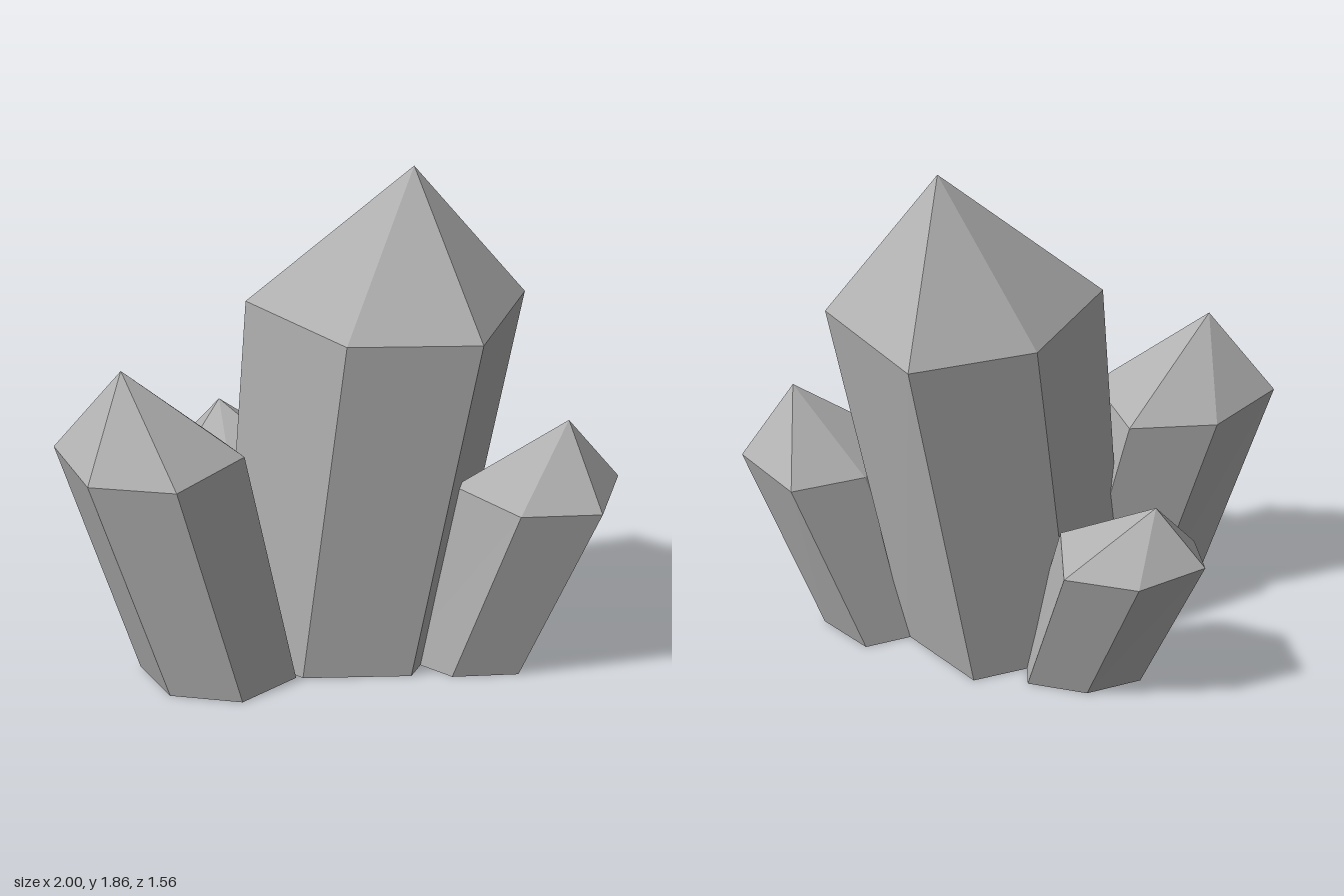
import * as THREE from 'three';

// Each crystal: tip, centre of its foot [x, z], and the six shoulder corners,
// listed clockwise seen from above. The foot is the shoulder outline shrunk.
const FOOT_SCALE = 0.84;

const CRYSTALS = [
  {
    name: 'mainCrystal', tip: [0.315, 1.86, 0.16], foot: [0.076, 0.073],
    shoulder: [[0.6, 1.298, -0.27], [0.735, 1.375, 0.233], [0.405, 1.298, 0.61],
      [-0.055, 1.298, 0.47], [-0.285, 1.375, 0.025], [0.11, 1.298, -0.27]],
  },
  {
    name: 'leftHandCrystal', tip: [-0.778, 1.18, 0.1], foot: [-0.454, 0.202],
    shoulder: [[-1, 0.875, -0.045], [-0.69, 0.825, -0.16], [-0.365, 0.825, -0.06],
      [-0.382, 0.875, 0.3], [-0.68, 0.825, 0.457], [-0.957, 0.825, 0.29]],
  },
  {
    name: 'frontSmallCrystal', tip: [0.778, 0.965, 0.55], foot: [0.496, 0.346],
    shoulder: [[0.9, 0.673, 0.227], [1, 0.717, 0.53], [0.813, 0.673, 0.778],
      [0.525, 0.673, 0.705], [0.38, 0.717, 0.435], [0.605, 0.673, 0.235]],
  },
  {
    name: 'backSmallCrystal', tip: [-0.19, 0.792, -0.645], foot: [-0.055, -0.325],
    shoulder: [[-0.325, 0.587, -0.78], [-0.06, 0.553, -0.785], [0.15, 0.553, -0.605],
      [0.04, 0.587, -0.325], [-0.24, 0.553, -0.315], [-0.415, 0.553, -0.52]],
  },
];

function crystalGeometry({ tip, foot, shoulder }) {
  const n = shoulder.length;
  const cx = shoulder.reduce((s, p) => s + p[0], 0) / n;
  const cz = shoulder.reduce((s, p) => s + p[2], 0) / n;
  const base = shoulder.map(([x, , z]) => [
    foot[0] + (x - cx) * FOOT_SCALE, 0, foot[1] + (z - cz) * FOOT_SCALE,
  ]);
  const centre = [foot[0], 0, foot[1]];

  const positions = [];
  const triangle = (a, b, c) => positions.push(...a, ...b, ...c);
  for (let i = 0; i < n; i++) {
    const j = (i + 1) % n;
    triangle(base[j], base[i], shoulder[i]); // side
    triangle(base[j], shoulder[i], shoulder[j]);
    triangle(shoulder[j], shoulder[i], tip); // point facet
    triangle(base[i], base[j], centre); // underside
  }
  const geometry = new THREE.BufferGeometry();
  geometry.setAttribute('position', new THREE.Float32BufferAttribute(positions, 3));
  geometry.computeVertexNormals();
  return geometry;
}

export function createModel() {
  const group = new THREE.Group();
  group.name = 'crystalCluster';
  const stone = new THREE.MeshStandardMaterial({ color: 0xb0b0b0, flatShading: true });
  stone.name = 'greyStone';
  for (const crystal of CRYSTALS) {
    const mesh = new THREE.Mesh(crystalGeometry(crystal), stone);
    mesh.name = crystal.name;
    group.add(mesh);
  }
  return group;
}
